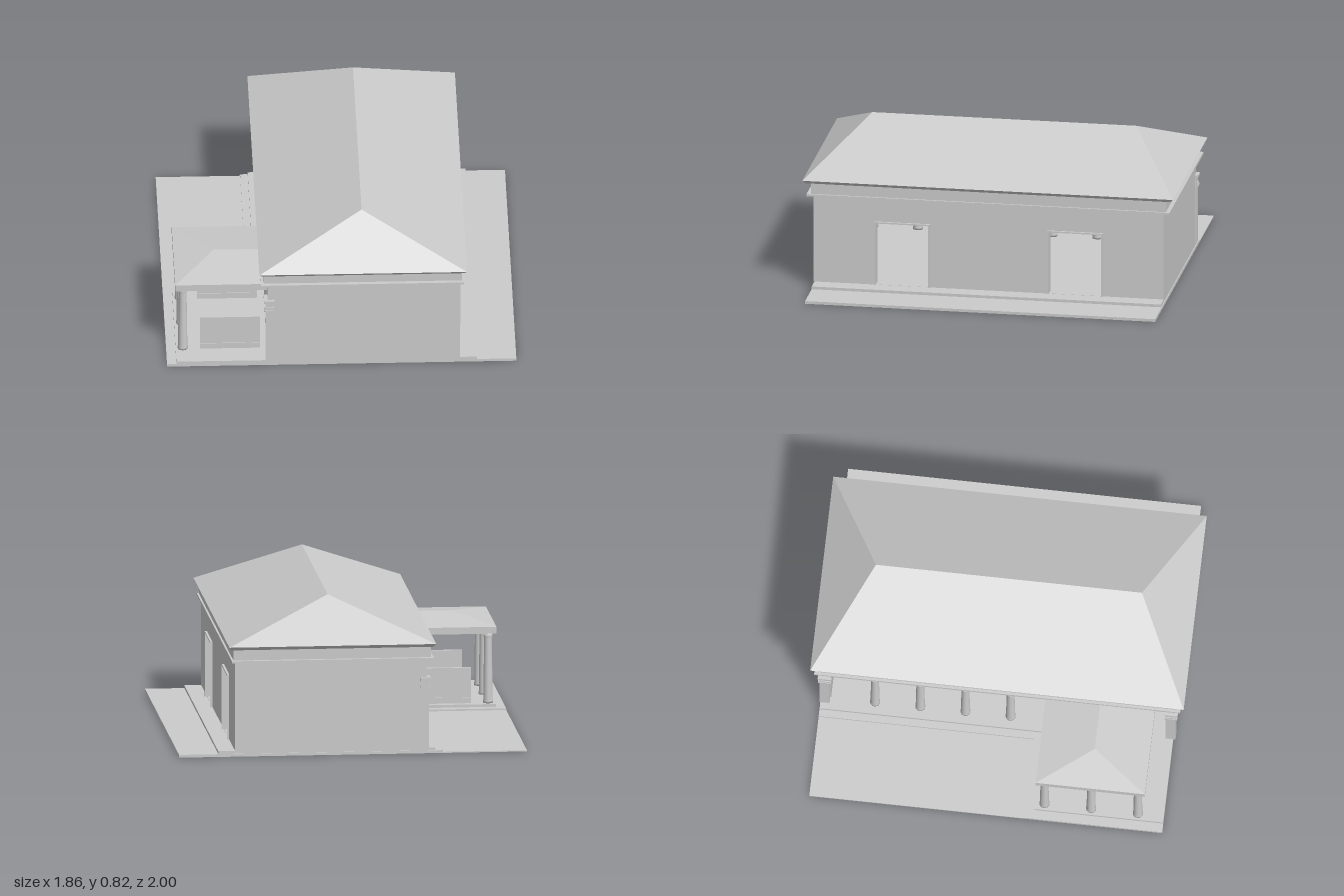
import * as THREE from 'three';

const mat = new THREE.MeshStandardMaterial({ color: 0xcccccc });
const flat = new THREE.MeshStandardMaterial({ color: 0xcccccc, flatShading: true, side: THREE.DoubleSide });

export function createModel() {
  const model = new THREE.Group();

  const add = (name, geometry, material = mat) => {
    const mesh = new THREE.Mesh(geometry, material);
    mesh.name = name;
    model.add(mesh);
    return mesh;
  };
  // box given by its limits on each axis
  const box = (name, x0, x1, y0, y1, z0, z1) =>
    add(name, new THREE.BoxGeometry(x1 - x0, y1 - y0, z1 - z0))
      .position.set((x0 + x1) / 2, (y0 + y1) / 2, (z0 + z1) / 2);
  // hip roof: four eave corners and two ridge ends
  const hipRoof = (name, [a, b, c, d], p, q) => {
    const tris = [a, p, b, b, p, q, b, q, c, c, q, d, d, q, p, d, p, a];
    const g = new THREE.BufferGeometry();
    g.setAttribute('position', new THREE.Float32BufferAttribute(tris.flat(), 3));
    g.computeVertexNormals();
    add(name, g, flat);
  };

  // stepped base, lower in the courtyard
  box('courtyard', -0.93, -0.46, 0, 0.006, -0.95, 0.22);
  box('lowerStep', -0.48, 0.93, 0, 0.015, -0.95, 0.94);
  box('porchLowerStep', -0.93, -0.48, 0, 0.015, 0.2, 0.94);
  box('floor', -0.44, 0.72, 0.015, 0.03, -0.945, 0.94);
  box('porchFloor', -0.88, -0.44, 0.015, 0.03, 0.25, 0.94);

  // side wall with two doorways
  const side = new THREE.Shape();
  side.moveTo(-0.945, 0.03).lineTo(0.945, 0.03).lineTo(0.945, 0.51).lineTo(-0.945, 0.51).closePath();
  for (const z of [-0.467, 0.467]) {
    const hole = new THREE.Path();
    hole.moveTo(z - 0.142, 0.031).lineTo(z - 0.142, 0.375).lineTo(z + 0.142, 0.375).lineTo(z + 0.142, 0.031).closePath();
    side.holes.push(hole);
    // slim door frame
    box('doorLintel', 0.575, 0.642, 0.375, 0.383, z - 0.15, z + 0.15);
    for (const s of [-1, 1]) {
      const c = z + s * 0.146;
      box('doorJamb', 0.575, 0.642, 0.03, 0.375, c - 0.004, c + 0.004);
    }
  }
  const sideWall = add('sideWall', new THREE.ExtrudeGeometry(side, { depth: 0.05, bevelEnabled: false }));
  sideWall.rotation.y = -Math.PI / 2;
  sideWall.position.x = 0.63;

  // end walls and corner pilasters with capitals
  for (const s of [-1, 1]) {
    const span = (name, x0, x1, y0, y1, za, zb) =>
      box(name, x0, x1, y0, y1, Math.min(s * za, s * zb), Math.max(s * za, s * zb));
    span('endWall', -0.37, 0.63, 0.03, 0.51, 0.895, 0.945);
    span('pilaster', -0.405, -0.365, 0.03, 0.41, 0.9, 0.953);
    span('pilasterNeck', -0.413, -0.36, 0.345, 0.355, 0.892, 0.962);
    span('pilasterRing', -0.41, -0.362, 0.355, 0.368, 0.896, 0.958);
    span('pilasterCapital', -0.41, -0.362, 0.39, 0.4, 0.896, 0.958);
    span('pilasterAbacus', -0.414, -0.358, 0.4, 0.412, 0.892, 0.963);
  }

  // tapered round columns
  const profile = [[0, 0.03], [0.027, 0.03], [0.027, 0.042], [0.0245, 0.046], [0.024, 0.15],
    [0.0205, 0.38], [0.024, 0.388], [0.025, 0.41], [0, 0.41]].map(([r, y]) => new THREE.Vector2(r, y));
  const columnGeometry = new THREE.LatheGeometry(profile, 20);
  for (let i = 0; i < 7; i++)
    add('galleryColumn', columnGeometry).position.set(-0.37, 0, -0.66 + 0.242 * i);
  for (const z of [0.3, 0.55, 0.8])
    add('porchColumn', columnGeometry).position.set(-0.842, 0, z);

  // beam over the gallery, then entablature
  box('galleryBeam', -0.395, -0.345, 0.41, 0.51, -0.945, 0.945);
  box('lowerMoulding', -0.43, 0.65, 0.51, 0.522, -0.98, 0.98);
  box('frieze', -0.415, 0.64, 0.522, 0.582, -0.958, 0.958);
  // cornice flares outward toward the eaves
  const cornice = new THREE.BoxGeometry(1.105, 0.018, 2);
  const p = cornice.attributes.position;
  for (let i = 0; i < p.count; i++)
    if (p.getY(i) < 0) p.setXYZ(i, p.getX(i) * 0.97, p.getY(i), p.getZ(i) * 0.983);
  add('cornice', cornice, flat).position.set(0.1125, 0.591, 0);

  hipRoof('mainRoof',
    [[-0.44, 0.6, -1], [0.665, 0.6, -1], [0.665, 0.6, 1], [-0.44, 0.6, 1]],
    [0.113, 0.825, -0.71], [0.113, 0.825, 0.715]);

  // porch roof
  box('porchEntablature', -0.883, -0.395, 0.41, 0.447, 0.257, 0.842);
  hipRoof('porchRoof',
    [[-0.883, 0.447, 0.842], [-0.883, 0.447, 0.257], [-0.39, 0.447, 0.257], [-0.39, 0.447, 0.842]],
    [-0.67, 0.485, 0.55], [-0.39, 0.485, 0.55]);

  // low porch screens with a plinth
  for (const z of [0.3, 0.8]) {
    box('porchScreen', -0.75, -0.432, 0.06, 0.222, z - 0.009, z + 0.009);
    box('screenPlinth', -0.75, -0.432, 0.03, 0.062, z - 0.013, z + 0.013);
  }
  return model;
}
